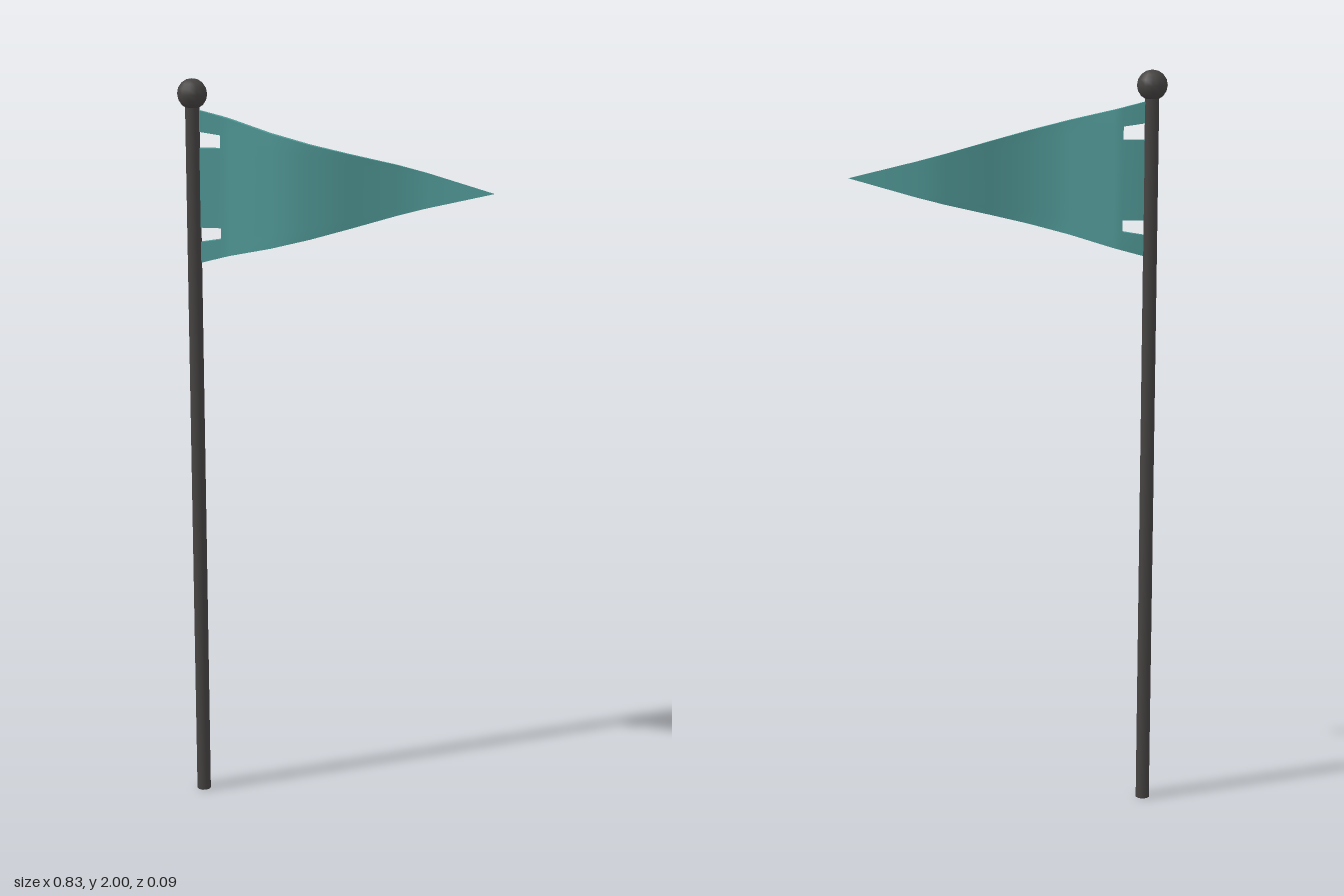
import * as THREE from 'three';
import { toCreasedNormals } from 'three/addons/utils/BufferGeometryUtils.js';

const POLE_X = -0.378, POLE_Z = -0.006;

// Cloth stations along the flag: x, centre z, half thickness
const STATIONS = [
  [-0.37, -0.006, 0.005], [-0.305, -0.009, 0.009], [-0.28, -0.007, 0.009],
  [-0.165, 0.033, 0.009], [-0.06, 0.036, 0.008], [0.04, 0.011, 0.006],
  [0.16, -0.028, 0.004], [0.235, -0.034, 0.002], [0.415, -0.008, 0],
];
// Row heights about the flag's centre line: at the pole, and just past the slots
const POLE_ROWS = [-0.205, -0.148, -0.108, 0.102, 0.146, 0.203];
const SLOT_ROWS = [-0.187, -0.138, -0.108, 0.102, 0.137, 0.186];
const CENTRE_Y = 1.717;

function buildCloth() {
  const positions = [];
  const last = STATIONS.length - 1;
  const tipX = STATIONS[last][0], slotX = STATIONS[1][0];

  const point = (i, j, side) => {
    const [x, z, half] = STATIONS[i];
    const y = i === 0 ? POLE_ROWS[j] : SLOT_ROWS[j] * (tipX - x) / (tipX - slotX);
    return new THREE.Vector3(x, CENTRE_Y + y, z + side * half);
  };
  const triangle = (a, b, c) => {
    if (new THREE.Triangle(a, b, c).getArea() < 1e-9) return;
    for (const p of [a, b, c]) positions.push(p.x, p.y, p.z);
  };
  const quad = (a, b, c, d) => { triangle(a, b, c); triangle(a, c, d); };

  // The two slots next to the pole are the missing cells
  const filled = (i, j) => i >= 0 && i < last && j >= 0 && j < 5
    && !(i === 0 && (j === 1 || j === 3));

  for (let i = 0; i < last; i++) {
    for (let j = 0; j < 5; j++) {
      if (!filled(i, j)) continue;
      const corners = [[i, j], [i + 1, j], [i + 1, j + 1], [i, j + 1]];
      const front = corners.map(([a, b]) => point(a, b, 1));
      const back = corners.map(([a, b]) => point(a, b, -1));
      quad(...front);
      quad(back[3], back[2], back[1], back[0]);
      // Rim wherever the neighbouring cell is empty
      [[i, j - 1], [i + 1, j], [i, j + 1], [i - 1, j]].forEach(([a, b], k) => {
        const n = (k + 1) % 4;
        if (!filled(a, b)) quad(front[k], back[k], back[n], front[n]);
      });
    }
  }
  const geometry = new THREE.BufferGeometry();
  geometry.setAttribute('position', new THREE.Float32BufferAttribute(positions, 3));
  return toCreasedNormals(geometry, 0.7);
}

export function createModel() {
  const teal = new THREE.MeshStandardMaterial({ color: 0x529c9a });
  teal.name = 'tealCloth';
  const dark = new THREE.MeshStandardMaterial({ color: 0x474343 });
  dark.name = 'darkMetal';

  const group = new THREE.Group();
  group.name = 'pennantOnPole';
  const add = (name, geometry, material, x = 0, y = 0, z = 0) => {
    const mesh = new THREE.Mesh(geometry, material);
    mesh.name = name;
    mesh.position.set(x, y, z);
    group.add(mesh);
  };

  add('pole', new THREE.CylinderGeometry(0.019, 0.019, 1.95, 10), dark, POLE_X, 0.975, POLE_Z);
  add('finial', new THREE.SphereGeometry(0.04, 12, 8), dark, POLE_X, 1.96, POLE_Z);
  add('pennant', buildCloth(), teal);
  return group;
}
